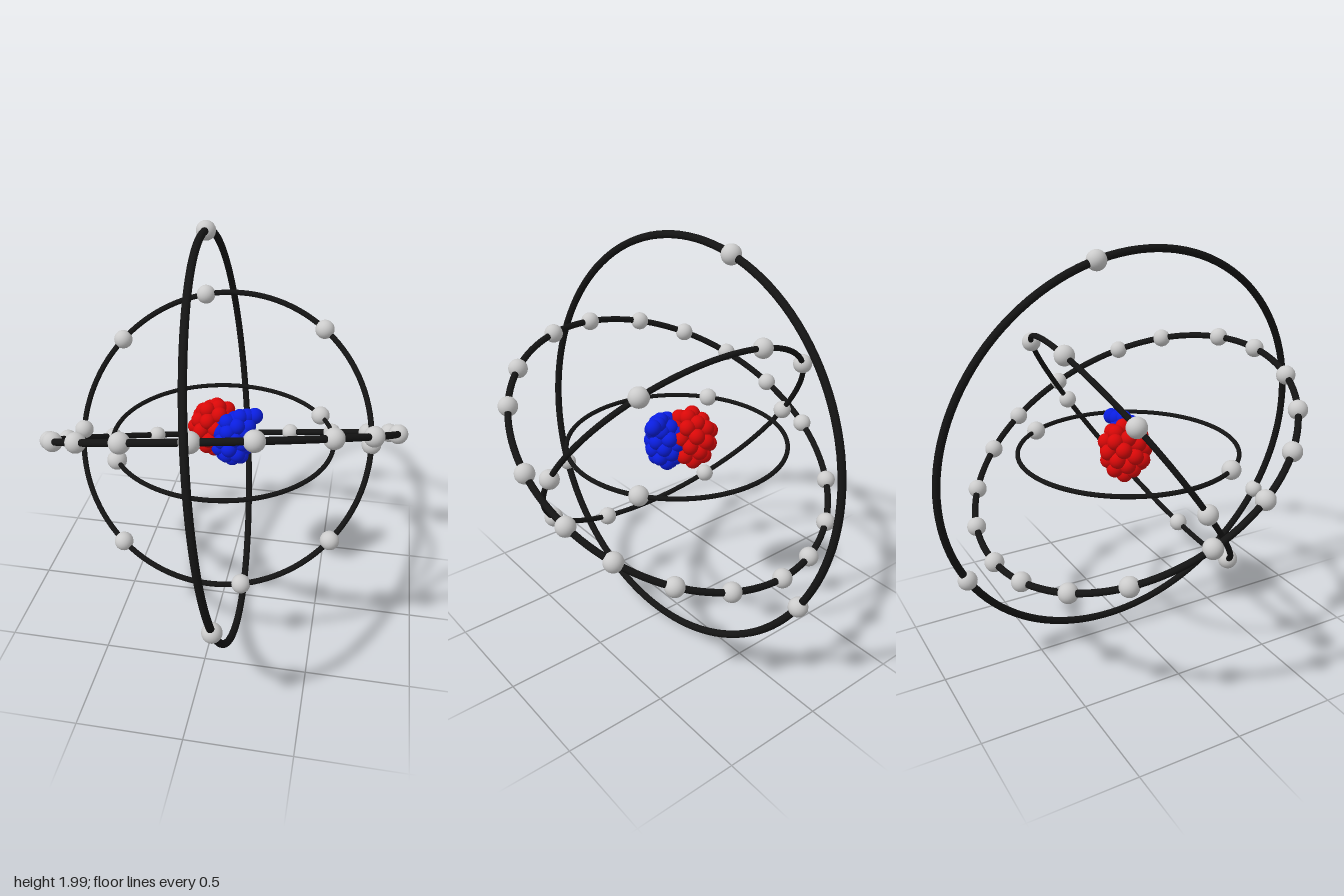
import * as THREE from 'three';

const CENTRE_Y = 1;
const mat = (color) => new THREE.MeshStandardMaterial({ color });

// Each orbit: radius, tube thickness, plane normal, and directions of its
// electrons. With "paired" every electron has a twin on the opposite side.
const ORBITS = [
  { name: 'innerOrbit', radius: 0.535, tube: 0.011, normal: [0, 1, 0], paired: true,
    electrons: [[0.45, 0, -0.295]] },
  { name: 'secondOrbit', radius: 0.712, tube: 0.0135, normal: [0.043, -0.566, -0.822], paired: true,
    electrons: [[-0.16, 0.57, -0.4], [0.44, 0.47, -0.3], [0.705, 0.04, 0.01], [0.56, -0.35, 0.27]] },
  { name: 'thirdOrbit', radius: 0.835, tube: 0.016, normal: [-0.11, 0.866, -0.486], paired: false,
    electrons: [
      [0.82, 0.11, 0.01], [0.715, 0.28, 0.33], [0.55, 0.36, 0.51], [0.25, 0.42, 0.68], [0, 0.41, 0.73],
      [-0.3, 0.36, 0.7], [-0.53, 0.28, 0.59], [-0.7, 0.16, 0.43], [-0.82, 0.03, 0.21],
      [-0.83, -0.13, -0.06], [-0.69, -0.29, -0.38], [-0.49, -0.37, -0.57], [-0.25, -0.41, -0.69],
      [-0.03, -0.41, -0.73], [0.26, -0.36, -0.71], [0.5, -0.28, -0.61], [0.69, -0.16, -0.44], [0.8, -0.04, -0.25],
    ] },
  { name: 'outerOrbit', radius: 0.981, tube: 0.018, normal: [0.992, 0.109, -0.07], paired: false,
    electrons: [[-0.12, 0.95, -0.22], [0.11, -0.45, 0.86], [-0.02, -0.485, -0.85]] },
];

function makeOrbit({ name, radius, tube, normal, paired, electrons }, ringMat, electronMat, electronGeo) {
  const group = new THREE.Group();
  group.name = name;
  const n = new THREE.Vector3(...normal).normalize();

  const ring = new THREE.Mesh(new THREE.TorusGeometry(radius, tube, 12, 120), ringMat);
  ring.name = 'orbitRing';
  ring.quaternion.setFromUnitVectors(new THREE.Vector3(0, 0, 1), n);
  group.add(ring);

  for (const dir of electrons) {
    for (const sign of paired ? [1, -1] : [1]) {
      const e = new THREE.Mesh(electronGeo, electronMat);
      e.name = 'electron';
      e.position.set(...dir).projectOnPlane(n).setLength(radius * sign);
      group.add(e);
    }
  }
  return group;
}

// Nucleons spread evenly over an ellipsoid, with a fixed ripple for a lumpy look
function makeCluster(name, count, centre, semi, extras, material, geo) {
  const group = new THREE.Group();
  group.name = name;
  const add = (x, y, z) => {
    const ball = new THREE.Mesh(geo, material);
    ball.name = 'nucleon';
    ball.position.set(x, y, z);
    group.add(ball);
  };
  for (let i = 0; i < count; i++) {
    const h = 1 - (2 * (i + 0.5)) / count;
    const r = Math.sqrt(1 - h * h);
    const a = i * Math.PI * (3 - Math.sqrt(5));
    const k = 0.97 + 0.06 * Math.sin(i * 2.7);
    add(centre[0] + semi[0] * k * r * Math.cos(a),
      centre[1] + semi[1] * k * h,
      centre[2] + semi[2] * k * r * Math.sin(a));
  }
  extras.forEach((p) => add(...p));
  return group;
}

export function createModel() {
  const model = new THREE.Group();
  model.name = 'atom';

  // Orbits with their electrons
  const atom = new THREE.Group();
  atom.name = 'electronShells';
  atom.position.y = CENTRE_Y;
  const ringMat = mat(0x141414);
  const electronMat = mat(0xcccccc);
  const electronGeo = new THREE.SphereGeometry(0.046, 24, 16);
  ORBITS.forEach((o) => atom.add(makeOrbit(o, ringMat, electronMat, electronGeo)));
  model.add(atom);

  // Nucleus: a red and a blue cluster pushed into each other
  const nucleus = new THREE.Group();
  nucleus.name = 'nucleus';
  nucleus.position.y = CENTRE_Y;
  const nucleonGeo = new THREE.SphereGeometry(0.039, 20, 14);
  nucleus.add(
    makeCluster('protons', 34, [-0.052, 0.025, -0.045], [0.09, 0.118, 0.1], [],
      mat(0xd90808), nucleonGeo),
    makeCluster('neutrons', 34, [0.05, 0.01, 0.022], [0.074, 0.11, 0.076],
      [[0.115, 0.125, 0.0], [0.152, 0.125, -0.012], [0.085, 0.13, 0.02], [0.125, 0.09, 0.03]],
      mat(0x0a1ee0), nucleonGeo),
  );
  model.add(nucleus);
  return model;
}
